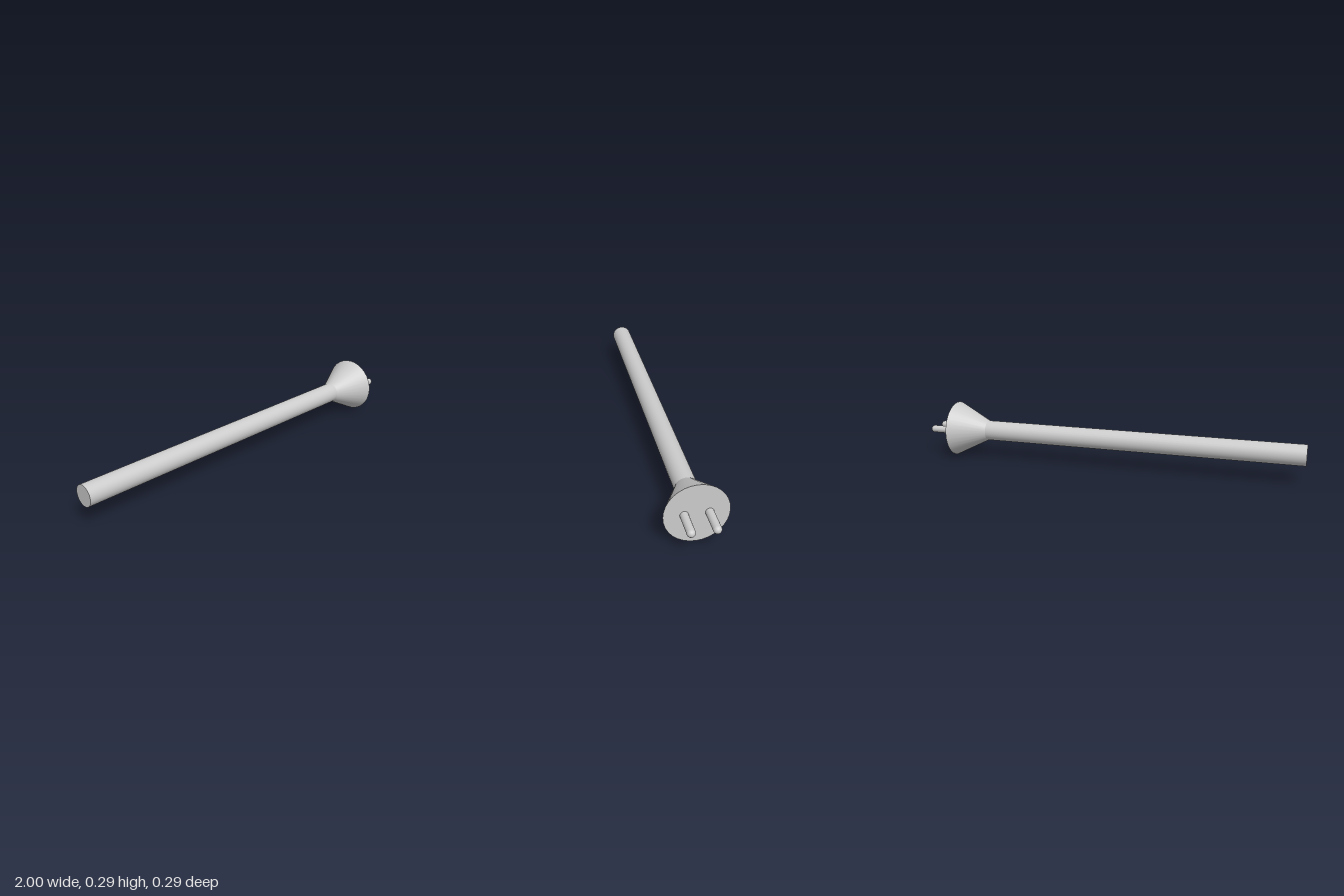
import * as THREE from 'three';

const AXIS_Y = 0.146;
const CORD_R = 0.053;
const FLARE_R = 0.146;
const PIN_R = 0.019;
const X = { cordEnd: -1, neck: 0.68, face: 0.865, tip: 1 };

export function createModel() {
  const group = new THREE.Group();
  const material = new THREE.MeshStandardMaterial({ color: 0xcccccc });

  // Lay a y-axis geometry along +x and place it on the plug axis
  const add = (name, geometry, x, z = 0) => {
    const mesh = new THREE.Mesh(geometry.rotateZ(-Math.PI / 2), material);
    mesh.name = name;
    mesh.position.set(x, AXIS_Y, z);
    group.add(mesh);
  };

  // Straight cord with a capped end
  const cordLength = X.neck - X.cordEnd;
  add('cord', new THREE.CylinderGeometry(CORD_R, CORD_R, cordLength, 32), X.cordEnd + cordLength / 2);

  // Flared plug body with a flat face
  const flareLength = X.face - X.neck;
  add('plugBody', new THREE.CylinderGeometry(FLARE_R, CORD_R, flareLength, 32), X.neck + flareLength / 2);

  // Two round-tipped pins
  const pinLength = X.tip - X.face;
  for (const [name, z] of [['leftPin', -0.055], ['rightPin', 0.055]]) {
    const profile = [new THREE.Vector2(PIN_R, 0)];
    for (let i = 0; i <= 8; i++) {
      const a = (i / 8) * Math.PI / 2;
      profile.push(new THREE.Vector2(
        i === 8 ? 0 : PIN_R * Math.cos(a),
        pinLength - PIN_R + PIN_R * Math.sin(a)
      ));
    }
    add(name, new THREE.LatheGeometry(profile, 24), X.face, z);
  }

  return group;
}
